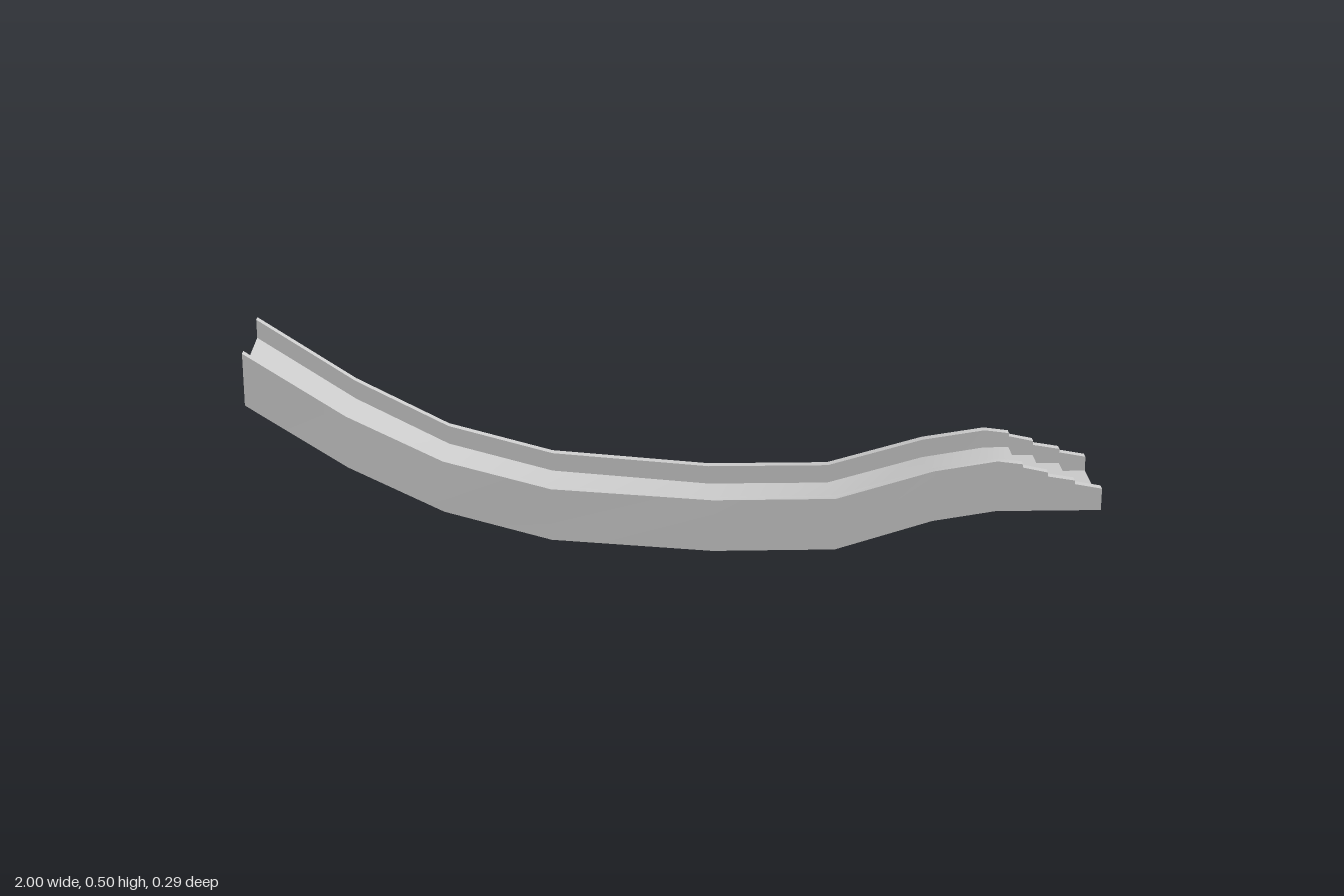
import * as THREE from 'three';
import { toCreasedNormals } from 'three/addons/utils/BufferGeometryUtils.js';

const WALL = 0.022; // side wall thickness

// Stations along the slide: x, underside, floor, wall top, outer half width
const stations = [
  [-1, 0.38, 0.46, 0.505, 0.145],
  [-0.77, 0.225, 0.305, 0.35, 0.143],
  [-0.55, 0.11, 0.19, 0.235, 0.137],
  [-0.3, 0.036, 0.118, 0.163, 0.136],
  [0.08, 0, 0.083, 0.128, 0.128],
  [0.37, 0, 0.083, 0.128, 0.127],
  [0.6, 0.068, 0.148, 0.193, 0.123],
  [0.75, 0.091, 0.172, 0.216, 0.122],
];
// Three steps down; the wall tops are notched above each riser
const steps = [
  [0.81, 0.208, 0.2],
  [0.87, 0.187, 0.177],
  [0.935, 0.166, 0.157],
];
let floor = 0.172;
for (const [x, before, after] of steps) {
  stations.push([x, 0.091, floor, before, 0.122]);
  floor -= 0.021;
  stations.push([x, 0.091, floor, after, 0.122]);
}
stations.push([1, 0.091, floor, 0.145, 0.122]);

// U-shaped cross-section, from the left underside over to the right underside
function section([x, bottom, floorY, top, half]) {
  const inner = half - WALL;
  const left = [[half, bottom], [half, top], [inner, top], [inner, floorY]];
  const right = left.map(([z, y]) => [-z, y]).reverse();
  return [...left, ...right].map(([z, y]) => new THREE.Vector3(x, y, z));
}

function channelGeometry() {
  const rings = stations.map(section);
  const positions = [];
  const triangle = (a, b, c) => {
    const area = new THREE.Triangle(a, b, c).getArea();
    if (area > 1e-9) for (const p of [a, b, c]) positions.push(p.x, p.y, p.z);
  };
  const quad = (a, b, c, d) => {
    triangle(a, b, c);
    triangle(a, c, d);
  };
  // Skin between neighbouring sections
  for (let k = 0; k < rings.length - 1; k++) {
    const r = rings[k], s = rings[k + 1];
    for (let j = 0; j < 8; j++) {
      const n = (j + 1) % 8;
      quad(r[j], s[j], s[n], r[n]);
    }
  }
  // End caps: two walls and the floor slab
  const first = rings[0], last = rings[rings.length - 1];
  for (const [a, b, c, d] of [[0, 1, 2, 3], [0, 3, 4, 7], [4, 5, 6, 7]]) {
    quad(first[a], first[b], first[c], first[d]);
    quad(last[d], last[c], last[b], last[a]);
  }
  const geometry = new THREE.BufferGeometry();
  geometry.setAttribute('position', new THREE.Float32BufferAttribute(positions, 3));
  return toCreasedNormals(geometry, 0.6);
}

export function createModel() {
  const group = new THREE.Group();
  group.name = 'slide';
  const chute = new THREE.Mesh(
    channelGeometry(),
    new THREE.MeshStandardMaterial({ color: 0xcccccc })
  );
  chute.name = 'chuteWithSteps';
  group.add(chute);
  return group;
}
